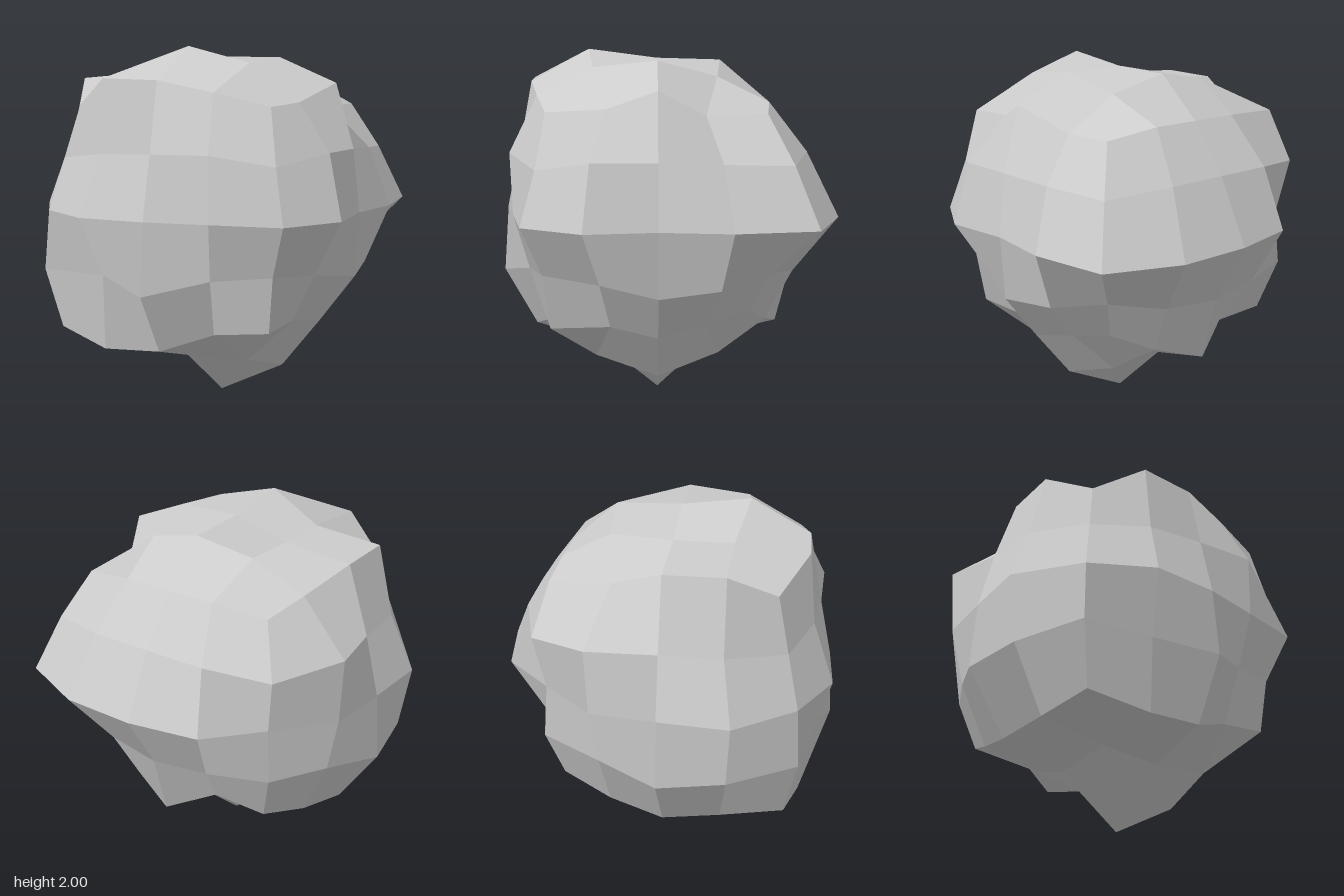
import * as THREE from 'three';

// How far the boulder reaches along each direction of a 5 x 5 x 5 grid,
// one layer per height from bottom to top; rows go back to front, columns from -x to +x.
const REACH = [
  [ // underside, drawn down to a point
    [0.58, 0.58, 0.70, 0.61, 0.50],
    [0.67, 0.74, 0.79, 0.79, 0.56],
    [0.73, 0.84, 1.11, 0.91, 0.62],
    [0.70, 0.78, 0.82, 0.80, 0.57],
    [0.66, 0.73, 0.71, 0.61, 0.575],
  ],
  [ // lower flank
    [0.66, 0.75, 0.79, 0.75, 0.60],
    [0.82, 0, 0, 0, 0.76],
    [0.955, 0, 0, 0, 0.82],
    [0.90, 0, 0, 0, 0.71],
    [0.725, 0.75, 0.89, 0.71, 0.61],
  ],
  [ // waist, with a ridge at the back
    [0.64, 0.91, 0.985, 0.98, 0.82],
    [0.89, 0, 0, 0, 0.885],
    [0.925, 0, 0, 0, 0.84],
    [0.95, 0, 0, 0, 0.885],
    [0.705, 0.88, 0.86, 0.79, 0.71],
  ],
  [ // upper flank
    [0.69, 0.80, 0.81, 0.81, 0.70],
    [0.91, 0, 0, 0, 0.77],
    [0.84, 0, 0, 0, 0.80],
    [0.82, 0, 0, 0, 0.80],
    [0.64, 0.76, 0.785, 0.80, 0.635],
  ],
  [ // crown
    [0.60, 0.61, 0.61, 0.61, 0.57],
    [0.61, 0.77, 0.83, 0.75, 0.56],
    [0.715, 0.75, 0.84, 0.835, 0.695],
    [0.72, 0.75, 0.89, 0.80, 0.595],
    [0.575, 0.72, 0.71, 0.65, 0.58],
  ],
];

// Pushes a grid corner in or out from the centre; half steps are eased so that
// facets spread evenly, a little tighter on the right flank and wider along box edges
function displaced({ x, y, z }) {
  const onEdge = [x, y, z].filter((n) => Math.abs(n) === 2).length > 1;
  const half = onEdge ? 0.45 : x === -2 ? 0.4 : 0.43;
  const ease = (n) => (Math.abs(n) === 1 ? n * half : n / 2);
  return new THREE.Vector3(ease(x), ease(y), ease(z)).multiplyScalar(REACH[y + 2][z + 2][x + 2]);
}

// Turns each square of a subdivided box into one evenly shaded facet
function boulderGeometry() {
  const box = new THREE.BoxGeometry(4, 4, 4, 4, 4, 4);
  const points = [];
  const normals = [];
  const index = box.index.array;
  for (let q = 0; q < index.length; q += 6) {
    const [a, b, c, d] = [index[q], index[q + 1], index[q + 4], index[q + 5]].map((v) =>
      displaced(new THREE.Vector3().fromBufferAttribute(box.attributes.position, v).round()));
    const normal = c.clone().sub(a).cross(d.clone().sub(b)).normalize();

    // Fold each facet along its shorter diagonal
    const foldAtA = a.distanceTo(c) < b.distanceTo(d);
    for (const p of foldAtA ? [a, b, c, a, c, d] : [a, b, d, b, c, d]) {
      points.push(p);
      normals.push(...normal);
    }
  }
  const geometry = new THREE.BufferGeometry().setFromPoints(points);
  geometry.setAttribute('normal', new THREE.Float32BufferAttribute(normals, 3));
  return geometry;
}

export function createModel() {
  const model = new THREE.Group();
  model.name = 'rock';

  // Boulder
  const boulder = new THREE.Mesh(
    boulderGeometry(),
    new THREE.MeshStandardMaterial({ color: 0xcccccc })
  );
  boulder.name = 'boulder';
  boulder.position.set(0.04, 1.11, 0.05);
  model.add(boulder);

  return model;
}
